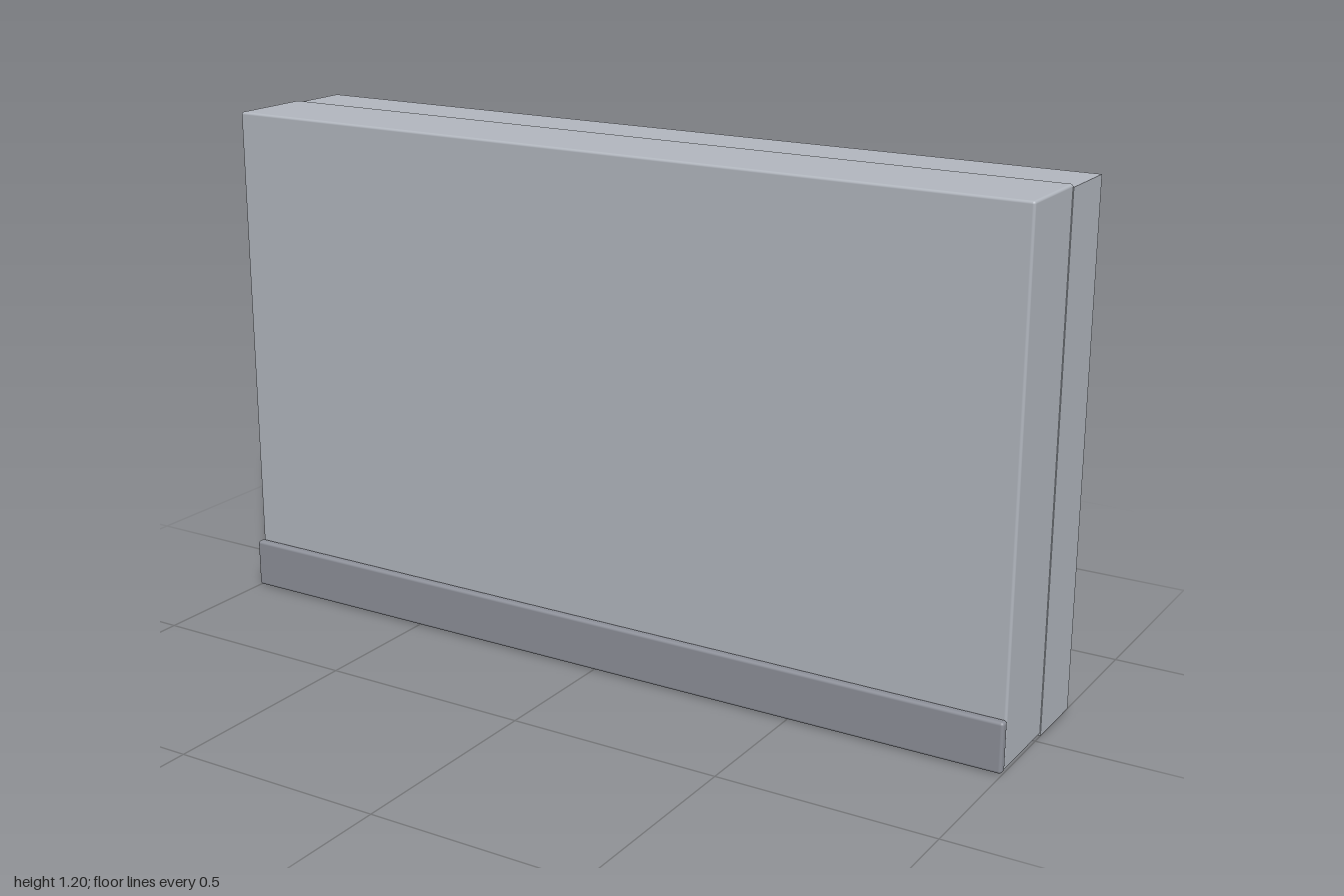
import * as THREE from 'three';
import { RoundedBoxGeometry } from 'three/addons/geometries/RoundedBoxGeometry.js';

export function createModel() {
  const model = new THREE.Group();
  model.name = 'wallPanel';

  const lightGrey = new THREE.MeshStandardMaterial({ color: 0xb2b7bf });
  lightGrey.name = 'lightGrey';
  const midGrey = new THREE.MeshStandardMaterial({ color: 0x8d9099 });
  midGrey.name = 'midGrey';

  // Adds a block spanning the given y and z ranges; a radius softens its edges
  function addBlock(name, width, [y0, y1], [z0, z1], radius, material) {
    const size = [width, y1 - y0, z1 - z0];
    const geometry = radius
      ? new RoundedBoxGeometry(...size, 3, radius)
      : new THREE.BoxGeometry(...size);
    const mesh = new THREE.Mesh(geometry, material);
    mesh.name = name;
    mesh.position.set(0, (y0 + y1) / 2, (z0 + z1) / 2);
    model.add(mesh);
  }

  // Sharp-edged rear core, soft-edged front slab and the skirting along its foot
  addBlock('rearCore', 2, [0, 1.192], [-0.19, -0.03], 0, lightGrey);
  addBlock('frontSlab', 1.996, [0.002, 1.198], [-0.037, 0.169], 0.006, lightGrey);
  addBlock('skirtingBoard', 2, [0.002, 0.118], [0.168, 0.19], 0.007, midGrey);

  return model;
}
